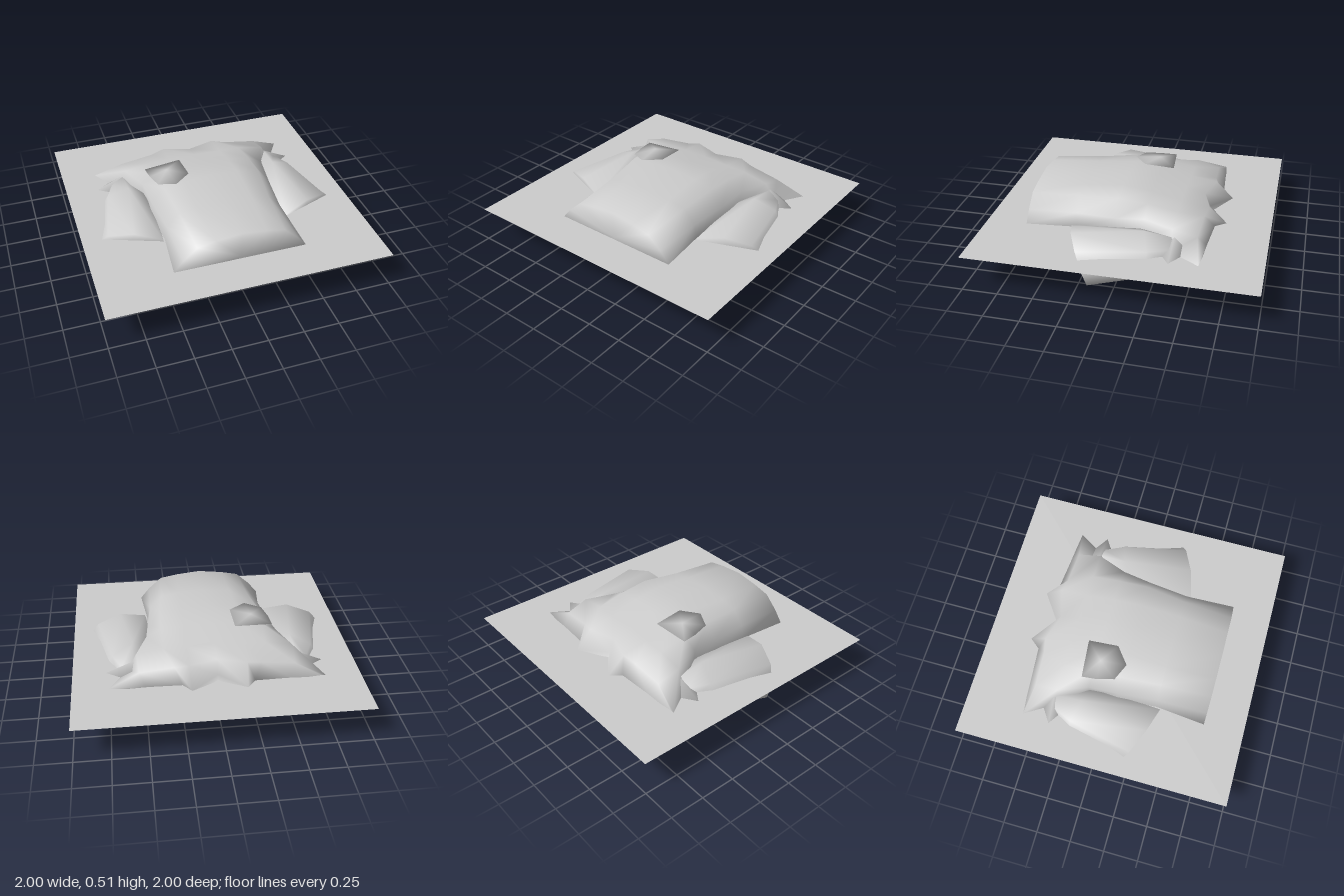
import * as THREE from 'three';

const grey = new THREE.MeshStandardMaterial({ color: 0xcccccc, side: THREE.DoubleSide });
grey.name = 'plain grey';

// Closed smooth skin through rings of [x, y, z] points, with a fan at both ends
function loft(name, rings, startTip, endTip) {
  const n = rings[0].length;
  const pts = [...rings.flat(), startTip, endTip];
  const first = rings.length * n, last = first + 1;
  const tris = [];
  for (let j = 0; j < n; j++) {
    const k = (j + 1) % n;
    for (let i = 0; i < rings.length - 1; i++) {
      const a = i * n + j, b = i * n + k;
      tris.push([a, b, a + n], [b, b + n, a + n]);
    }
    const base = (rings.length - 1) * n;
    tris.push([first, k, j], [last, base + j, base + k]);
  }
  // Turn the faces outward if the enclosed volume is negative
  const v = pts.map((p) => new THREE.Vector3(...p));
  let volume = 0;
  for (const [a, b, c] of tris) volume += v[a].dot(v[b].clone().cross(v[c]));
  const index = tris.flatMap(([a, b, c]) => (volume < 0 ? [a, c, b] : [a, b, c]));
  const geo = new THREE.BufferGeometry().setFromPoints(v);
  geo.setIndex(index);
  geo.computeVertexNormals();
  const mesh = new THREE.Mesh(geo, grey);
  mesh.name = name;
  return mesh;
}

// Half ring from top centre to bottom centre, completed by mirroring x
const fullRing = (half) => [
  ...half,
  ...half.slice(1, -1).reverse().map(([x, y, z]) => [-x, y, z]),
];
const atZ = (z, half) => fullRing(half.map(([x, y]) => [x, y, z]));
const flip = (s, ring) => ring.map(([x, y, z]) => [s * x, y, z]);

export function createModel() {
  const model = new THREE.Group();
  model.name = 'shirtOnSheet';

  // Flat square sheet cutting through the shirt at mid height
  const sheet = new THREE.Mesh(new THREE.PlaneGeometry(2, 2), grey);
  sheet.rotation.x = -Math.PI / 2;
  sheet.position.y = 0.26;
  sheet.name = 'sheet';
  model.add(sheet);

  // Torso from hem to shoulders, ending in the collar
  const torso = [
    atZ(0.71, [[0, 0.475], [0.18, 0.455], [0.31, 0.43], [0.41, 0.34], [0.475, 0.26], [0.4, 0.19], [0.3, 0.14], [0, 0.095]]),
    atZ(0.35, [[0, 0.49], [0.2, 0.475], [0.33, 0.455], [0.42, 0.36], [0.44, 0.26], [0.42, 0.17], [0.3, 0.11], [0, 0.08]]),
    atZ(0.06, [[0, 0.52], [0.2, 0.505], [0.36, 0.485], [0.45, 0.37], [0.465, 0.26], [0.45, 0.14], [0.32, 0.07], [0, 0.03]]),
    atZ(-0.15, [[0, 0.485], [0.2, 0.48], [0.36, 0.465], [0.47, 0.4], [0.46, 0.26], [0.48, 0.12], [0.35, 0.025], [0, 0.005]]),
    atZ(-0.36, [[0, 0.435], [0.2, 0.43], [0.36, 0.425], [0.55, 0.395], [0.62, 0.26], [0.6, 0.13], [0.35, 0.04], [0, 0.025]]),
    fullRing([[0, 0.4, -0.5], [0.2, 0.4, -0.56], [0.3, 0.38, -0.54], [0.54, 0.35, -0.53], [0.75, 0.26, -0.57],
      [0.73, 0.17, -0.58], [0.28, 0.1, -0.78], [0, 0.09, -0.7]]),
    fullRing([[0, 0.3, -0.54], [0.19, 0.28, -0.685], [0.25, 0.28, -0.61], [0.5, 0.27, -0.59], [0.74, 0.25, -0.575],
      [0.7, 0.2, -0.59], [0.22, 0.2, -0.74], [0, 0.2, -0.58]]),
  ];
  model.add(loft('torso', torso, [0, 0.28, 0.71], [0, 0.255, -0.55]));

  // Short sleeves, the cuff lying on a slanted plane
  const cuff = [[0.915, 0.2], [0.82, 0.3], [0.65, 0.335], [0.46, 0.28], [0.42, 0.18], [0.43, 0.1], [0.53, 0.03], [0.73, 0.01], [0.9, 0.1]]
    .map(([x, y]) => [x, y, 0.26 - 0.38 * (x - 0.67) + 0.35 * (y - 0.17)]);
  const upper = [[0.78, 0.2, -0.22], [0.72, 0.3, -0.22], [0.57, 0.37, -0.17], [0.44, 0.31, -0.1], [0.42, 0.18, -0.05],
    [0.43, 0.1, -0.05], [0.5, 0.04, -0.08], [0.64, 0.04, -0.12], [0.76, 0.12, -0.2]];
  const head = upper.map(([x, y]) => [0.58 + (x - 0.58) * 0.55, 0.22 + (y - 0.2) * 0.75, -0.36]);
  // Pointed fold of cloth behind each sleeve
  const fold = [[0.5, 0.38, -0.38], [0.64, 0.25, -0.27], [0.58, 0.12, -0.36], [0.64, 0.25, -0.47]];
  for (const [side, s] of [['left', 1], ['right', -1]]) {
    model.add(loft(side + 'Sleeve', [cuff, upper, head].map((r) => flip(s, r)), [s * 0.67, 0.17, 0.26], [s * 0.57, 0.22, -0.4]));
    model.add(loft(side + 'ShoulderFold', [flip(s, fold)], [s * 0.48, 0.25, -0.37], [s * 0.79, 0.25, -0.37]));
  }

  // Small chest patch, slightly domed
  const patch = [[-0.43, 0.483, -0.21], [-0.16, 0.497, -0.235], [-0.15, 0.513, -0.02], [-0.27, 0.508, 0.075], [-0.39, 0.495, 0.02], [-0.42, 0.487, -0.1]];
  model.add(loft('chestPatch', [patch], [-0.29, 0.455, -0.1], [-0.29, 0.518, -0.11]));

  return model;
}
